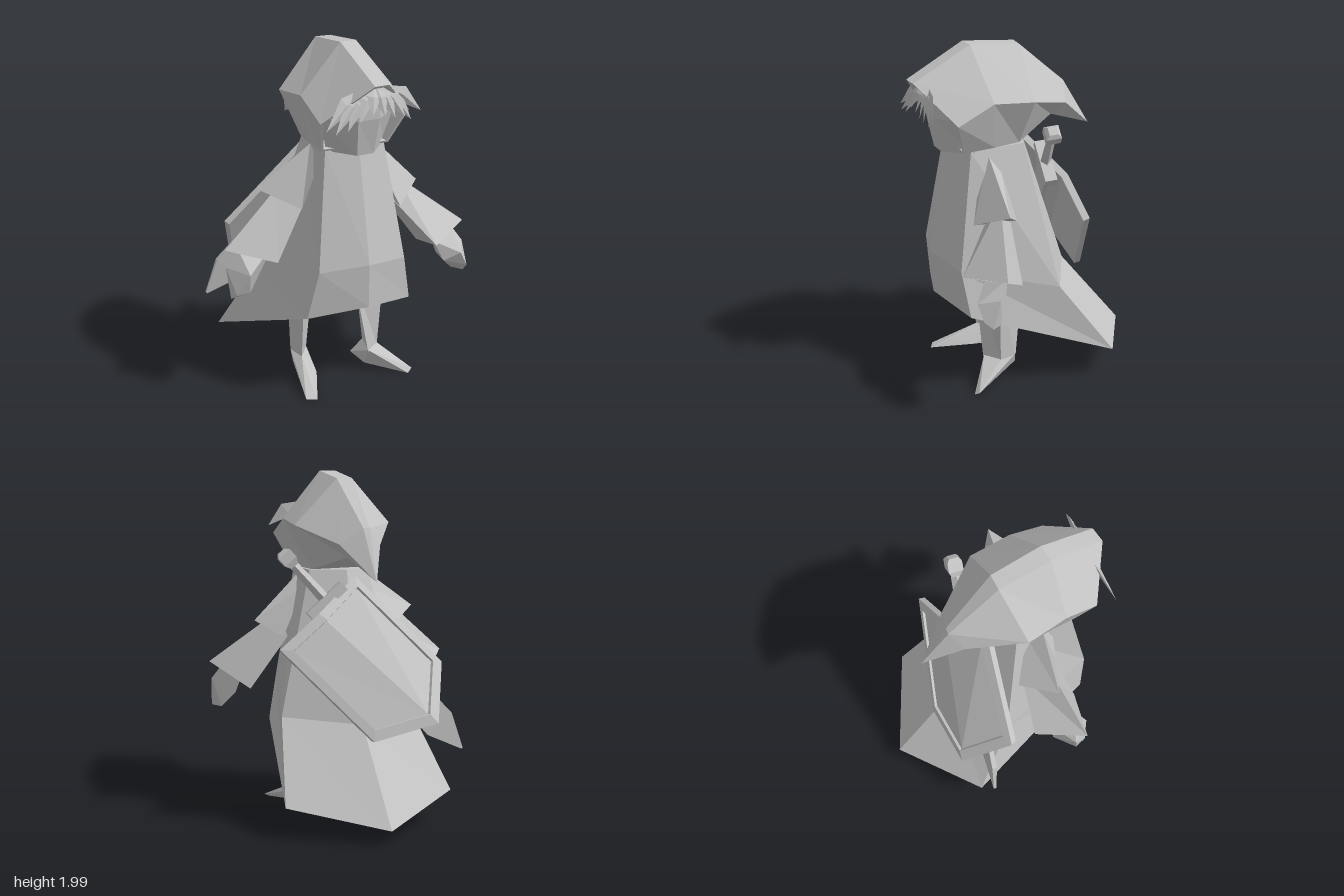
import * as THREE from 'three';
import { ConvexGeometry } from 'three/addons/geometries/ConvexGeometry.js';

const grey = new THREE.MeshStandardMaterial({ color: 0xc4c4c4, flatShading: true, side: THREE.DoubleSide });
grey.name = 'clay grey';

function part(name, geometry, parent) {
  const mesh = new THREE.Mesh(geometry, grey);
  mesh.name = name;
  parent.add(mesh);
  return mesh;
}

// Skin a list of closed cross-sections with the same number of corners
function loft(rings, capStart = false, capEnd = false) {
  const out = [];
  const tri = (a, b, c) => out.push(...a, ...b, ...c);
  for (let r = 0; r < rings.length - 1; r++) {
    const A = rings[r], B = rings[r + 1], n = A.length;
    for (let i = 0; i < n; i++) {
      const j = (i + 1) % n;
      tri(A[i], B[i], B[j]);
      tri(A[i], B[j], A[j]);
    }
  }
  const cap = (R, flip) => {
    for (let i = 1; i < R.length - 1; i++) flip ? tri(R[0], R[i + 1], R[i]) : tri(R[0], R[i], R[i + 1]);
  };
  if (capStart) cap(rings[0], false);
  if (capEnd) cap(rings[rings.length - 1], true);
  const g = new THREE.BufferGeometry();
  g.setAttribute('position', new THREE.Float32BufferAttribute(out, 3));
  g.computeVertexNormals();
  return g;
}

const hull = (pts) => new ConvexGeometry(pts.map((p) => new THREE.Vector3(...p)));

// Scale a ring about its centre, then shift it
function inset(ring, s, shift = [0, 0, 0]) {
  const c = [0, 1, 2].map((k) => ring.reduce((t, p) => t + p[k], 0) / ring.length);
  return ring.map((p) => p.map((v, k) => c[k] + (v - c[k]) * s + shift[k]));
}

function addHead(root) {
  const head = new THREE.Group();
  head.name = 'head';
  root.add(head);

  // Hood rings run from rim to tip: ridge, side, bottom, bottom, side, ridge
  const rim = [[.105, 1.83, .64], [.30, 1.63, .44], [.20, 1.44, .39], [-.20, 1.44, .44], [-.235, 1.62, .54], [.02, 1.83, .66]];
  const tip = [-.14, 1.43, -.43];
  part('hood', loft([
    inset(rim, .88, [-.03, 0, -.12]),
    inset(rim, .94),
    rim,
    [[.04, 2, .31], [.27, 1.73, .235], [.18, 1.45, .21], [-.22, 1.45, .30], [-.28, 1.73, .34], [-.055, 2, .33]],
    [[-.006, 1.97, .02], [.24, 1.71, 0], [.13, 1.45, .06], [-.22, 1.45, .14], [-.33, 1.71, .11], [-.095, 1.97, .03]],
    [[-.10, 1.71, -.265], [.03, 1.62, -.24], [-.03, 1.54, -.17], [-.17, 1.54, -.14], [-.21, 1.61, -.20], [-.135, 1.71, -.265]],
    Array(6).fill(tip),
  ], true), head);

  part('face', loft([
    [[.19, 1.43, .33], [.08, 1.42, .49], [-.02, 1.42, .51], [-.16, 1.43, .40], [-.02, 1.44, .15]],
    [[.235, 1.63, .37], [.10, 1.62, .53], [-.03, 1.62, .55], [-.20, 1.62, .45], [-.02, 1.62, .15]],
    [[.18, 1.76, .40], [.10, 1.79, .53], [0, 1.79, .55], [-.12, 1.76, .47], [-.02, 1.76, .15]],
  ], true, true), head);

  // Fringe of broad pointed locks fanning out and forward from below the rim
  const tips = [[-.24, 1.61, .65], [-.19, 1.59, .655], [-.12, 1.60, .645], [-.05, 1.64, .64], [.02, 1.67, .64],
    [.09, 1.66, .63], [.15, 1.645, .62], [.21, 1.64, .61], [.25, 1.62, .59], [.31, 1.66, .58]];
  tips.forEach((t, i) => {
    const start = [.01 + i * .01, 1.81, .56];
    const dx = t[0] - start[0], dy = t[1] - start[1], len = Math.hypot(dx, dy);
    const middle = (side, forward) => [
      start[0] + dx * .5 - dy / len * side,
      start[1] + dy * .5 + .02 + dx / len * side,
      (start[2] + t[2]) / 2 + forward];
    part('hairLock', loft([
      Array(3).fill(start),
      [middle(-.045, -.01), middle(.045, -.01), middle(0, .008)],
      Array(3).fill(t),
    ]), head);
  });
}

function addTunic(root) {
  // Columns: front centre, front left, back left, back centre, back right, front right
  part('tunic', loft([
    [[.02, 1.44, .43], [.19, 1.44, .35], [.15, 1.45, .04], [-.06, 1.45, 0], [-.20, 1.44, .10], [-.17, 1.44, .42]],
    [[.04, .80, .555], [.29, .77, .44], [.34, .63, -.12], [-.10, .60, -.27], [-.43, .64, -.03], [-.24, .78, .53]],
    [[.04, .55, .55], [.34, .505, .40], [.37, .19, -.44], [-.18, .095, -.66], [-.62, .19, -.27], [-.30, .505, .50]],
  ], true), root);
}

function addLegs(root) {
  // Three-sided legs with narrow pointed feet
  part('leftLeg', loft([
    [[.04, .62, .31], [.26, .62, .21], [.13, .62, .04]],
    [[.14, .13, .285], [.225, .13, .20], [.17, .13, .095]],
  ], true, true), root);
  part('leftFoot', hull([[.14, .14, .28], [.225, .14, .20], [.17, .13, .10],
    [.10, .045, .08], [.14, .03, .22], [.31, .065, .29], [.38, .03, .37], [.35, .01, .39]]), root);
  part('rightLeg', loft([
    [[-.31, .62, .14], [-.25, .62, .29], [-.12, .62, .06]],
    [[-.285, .13, .12], [-.25, .13, .23], [-.18, .13, .09]],
  ], true, true), root);
  part('rightFoot', hull([[-.285, .14, .12], [-.25, .14, .23], [-.18, .13, .09], [-.26, .04, .08],
    [-.16, .045, .11], [-.17, .04, .26], [-.24, .06, .40], [-.31, .01, .50], [-.25, .01, .52]]), root);
}

function addArms(root) {
  // Three-sided sleeves: ridge, front corner, back corner
  part('leftShoulderSleeve', loft([
    [[.18, 1.41, .25], [.16, 1.34, .29], [.16, 1.34, .18]],
    [[.45, 1.14, .20], [.29, 1.05, .365], [.29, 1.05, .12]],
  ], true, true), root);
  part('leftSleeve', loft([
    [[.32, 1.18, .22], [.27, 1.07, .285], [.26, 1.05, .15]],
    [[.71, .89, .285], [.47, .83, .475], [.485, .745, .14]],
  ], true), root);
  part('leftHand', hull([[.50, .81, .36], [.64, .86, .29], [.53, .80, .24], [.695, .78, .32], [.64, .75, .435],
    [.55, .70, .40], [.56, .70, .26], [.69, .61, .36], [.64, .61, .30], [.69, .66, .41]]), root);
  part('rightShoulderSleeve', loft([
    [[-.20, 1.43, .25], [-.17, 1.34, .32], [-.17, 1.34, .17]],
    [[-.505, 1.20, .24], [-.27, 1.08, .32], [-.35, 1.11, .06]],
  ], true, true), root);
  part('rightSleeve', loft([
    [[-.40, 1.19, .25], [-.26, 1.09, .30], [-.30, 1.09, .10]],
    [[-.715, .905, .345], [-.43, .81, .385], [-.575, .82, .08]],
  ], true), root);
  part('rightHand', hull([[-.63, .88, .30], [-.49, .83, .32], [-.56, .83, .18], [-.70, .78, .29], [-.46, .79, .26],
    [-.59, .76, .40], [-.60, .70, .19], [-.68, .60, .31], [-.575, .63, .33], [-.66, .64, .37]]), root);
}

function addSword(root) {
  const sword = new THREE.Group();
  sword.name = 'sword';
  root.add(sword);
  const end = new THREE.Vector3(-.70, .42, -.215), top = new THREE.Vector3(.32, 1.56, -.075);
  sword.position.copy(end);
  sword.quaternion.setFromUnitVectors(new THREE.Vector3(0, 1, 0), top.clone().sub(end).normalize());

  const section = (y, w, d) => [[-w, y, -d], [w, y, -d], [w, y, d], [-w, y, d]];
  part('scabbard', loft([section(0, .005, .008), section(.2, .095, .014), section(1.12, .07, .014)], true, true), sword);
  part('guard', new THREE.BoxGeometry(.26, .06, .07), sword).position.y = 1.17;
  part('grip', new THREE.CylinderGeometry(.025, .032, .34, 4), sword).position.y = 1.35;
  part('pommel', loft([section(1.44, .025, .025), section(1.475, .042, .042), section(1.53, .042, .042),
    section(1.55, .025, .025)], true, true), sword);
}

function addShield(root) {
  // Outline starts at the lower corner where the face fold ends; the fold begins in the upper edge
  const edge = [[-.52, .61, -.355], [-.61, .91, -.08], [-.10, 1.42, -.04], [.14, 1.235, -.22], [.37, 1.05, -.28], [-.14, .53, -.40]];
  part('shield', loft([
    inset(edge, .98, [.01, -.012, .035]),
    edge,
    inset(edge, .86, [-.004, .005, -.012]),
    inset(edge, .85, [.001, -.001, .002]),
  ], true, true), root);
}

export function createModel() {
  const root = new THREE.Group();
  root.name = 'hoodedAdventurer';
  addHead(root);
  addTunic(root);
  addLegs(root);
  addArms(root);
  addSword(root);
  addShield(root);
  return root;
}
